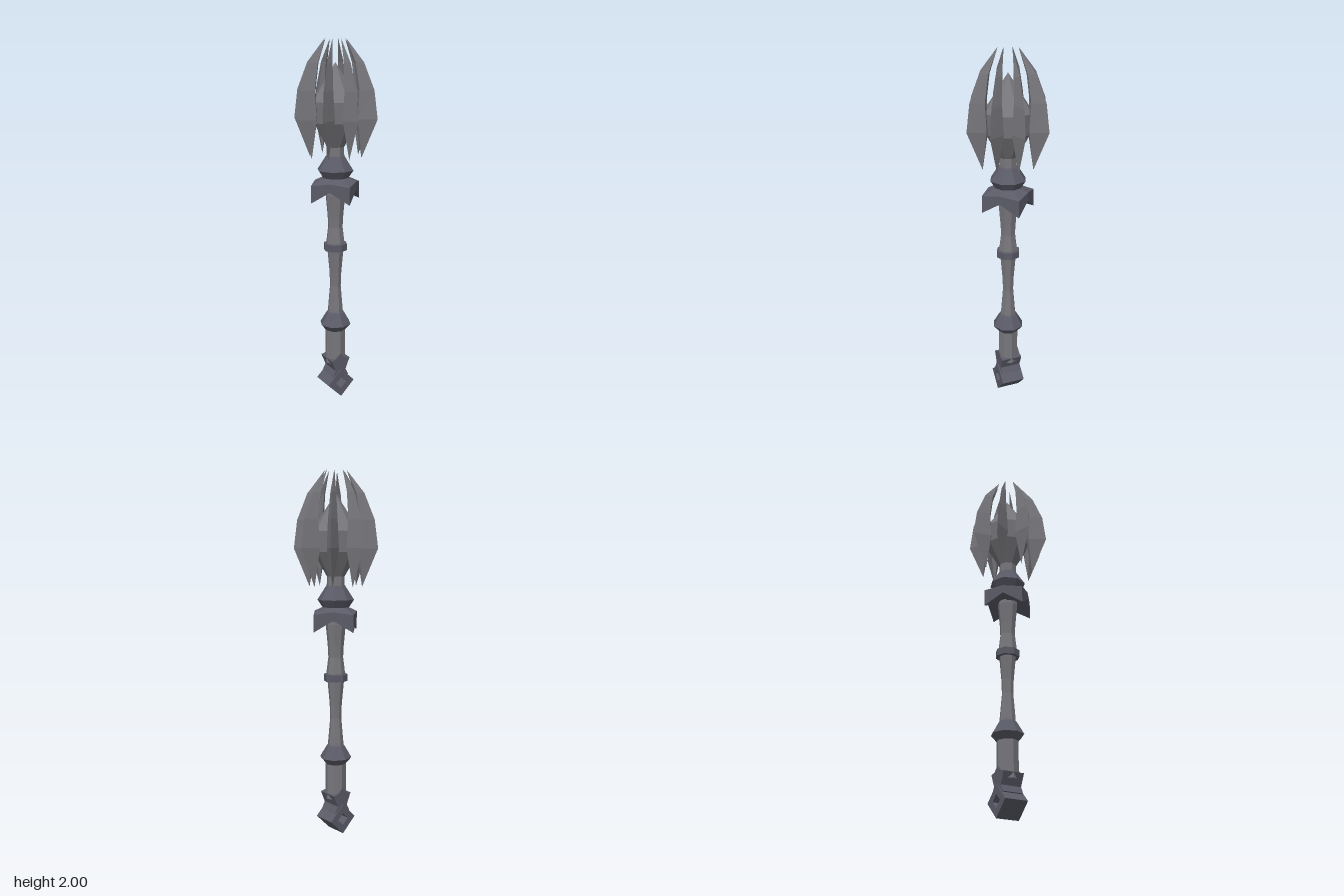
import * as THREE from 'three';

const steel = new THREE.MeshStandardMaterial({ color: 0x77777c });
steel.name = 'steel grey';
const dark = new THREE.MeshStandardMaterial({ color: 0x5b5b68 });
dark.name = 'dark blue grey';

// Faceted mesh from any geometry
function flatMesh(name, geometry, material) {
  const g = geometry.index ? geometry.toNonIndexed() : geometry;
  g.computeVertexNormals();
  const mesh = new THREE.Mesh(g, material);
  mesh.name = name;
  return mesh;
}

// Eight-sided turned part; profile points are [radius, y] from bottom to top
function turned(name, profile, material) {
  const points = profile.map(([r, y]) => new THREE.Vector2(r, y));
  return flatMesh(name, new THREE.LatheGeometry(points, 8), material);
}

// Skin closed rings of [x, y, z], joined in order
function loft(rings) {
  const out = [];
  const n = rings[0].length;
  for (let k = 0; k < rings.length - 1; k++) {
    for (let i = 0; i < n; i++) {
      const j = (i + 1) % n;
      const a = rings[k][i], b = rings[k][j], c = rings[k + 1][i], d = rings[k + 1][j];
      out.push(...a, ...c, ...b, ...b, ...c, ...d);
    }
  }
  const g = new THREE.BufferGeometry();
  g.setAttribute('position', new THREE.Float32BufferAttribute(out, 3));
  return g;
}

// Flat outline extruded symmetrically along z
function plate(name, outline, depth, material, hole) {
  const toVectors = (pts) => pts.map(([x, y]) => new THREE.Vector2(x, y));
  const shape = new THREE.Shape(toVectors(outline));
  if (hole) shape.holes.push(new THREE.Path(toVectors(hole)));
  const g = new THREE.ExtrudeGeometry(shape, { depth, bevelEnabled: false });
  g.translate(0, 0, -depth / 2);
  return flatMesh(name, g, material);
}

export function createModel() {
  const model = new THREE.Group();
  model.name = 'mace';

  // Handle
  model.add(turned('lowerGrip', [[0, 0.19], [0.058, 0.2], [0.058, 0.42]], steel));
  model.add(turned('shaft', [
    [0.045, 0.45], [0.043, 0.52], [0.031, 0.66], [0.034, 0.74], [0.046, 0.87],
    [0.052, 0.91], [0.041, 1.0], [0.044, 1.06], [0.055, 1.18], [0.05, 1.25],
  ], steel));
  model.add(turned('lowerCollar', [
    [0.04, 0.39], [0.05, 0.39], [0.088, 0.435], [0.05, 0.5], [0.04, 0.51],
  ], dark));
  model.add(turned('middleRing', [
    [0.04, 0.868], [0.065, 0.868], [0.065, 0.906], [0.04, 0.906],
  ], dark));
  model.add(turned('upperCollar', [
    [0.05, 1.24], [0.1, 1.315], [0.052, 1.39], [0, 1.39],
  ], dark));

  // Four-cornered guard with arched lower edges
  const guardRing = (rc, yc, rm, ym) => Array.from({ length: 8 }, (_, i) => {
    const a = i * Math.PI / 4, corner = i % 2 === 0;
    const r = corner ? rc : rm;
    return [r * Math.cos(a), corner ? yc : ym, r * Math.sin(a)];
  });
  model.add(flatMesh('guard', loft([
    guardRing(0.045, 1.2, 0.045, 1.2),
    guardRing(0.15, 1.145, 0.115, 1.21),
    guardRing(0.15, 1.24, 0.115, 1.255),
    guardRing(0.06, 1.28, 0.06, 1.28),
  ]), dark));

  // Pointed core of the head
  model.add(turned('headCore', [
    [0.05, 1.36], [0.048, 1.44], [0.122, 1.57], [0.132, 1.68], [0, 1.88],
  ], steel));

  // Eight curved blades: [y, outer radius, middle radius, inner radius, half width]
  const sections = [
    [1.385, 0.143, 0.143, 0.143, 0],
    [1.59, 0.228, 0.13, 0.11, 0.032],
    [1.74, 0.209, 0.136, 0.118, 0.025],
    [1.88, 0.153, 0.112, 0.1, 0.015],
    [2.0, 0.058, 0.058, 0.058, 0],
  ];
  const bladeGeometry = loft(sections.map(([y, ro, rm, ri, w]) =>
    [[ro, y, 0], [rm, y, w], [ri, y, 0], [rm, y, -w]]));
  for (let i = 0; i < 8; i++) {
    const blade = flatMesh('blade' + (i + 1), bladeGeometry, steel);
    blade.rotation.y = i * Math.PI / 4;
    model.add(blade);
  }

  // Pommel: waisted mount above a square ring standing on its corner
  model.add(plate('pommelMount', [
    [-0.035, 0.12], [0.035, 0.12], [0.05, 0.13], [0.032, 0.165], [0.059, 0.23],
    [0.03, 0.235], [0, 0.265], [-0.03, 0.235], [-0.059, 0.23], [-0.032, 0.165], [-0.05, 0.13],
  ], 0.12, dark));
  const diamond = (s) => [[0, 0.088 - s], [s, 0.088], [0, 0.088 + s], [-s, 0.088]];
  model.add(plate('pommelRing', diamond(0.084), 0.132, dark, diamond(0.034)));

  return model;
}
